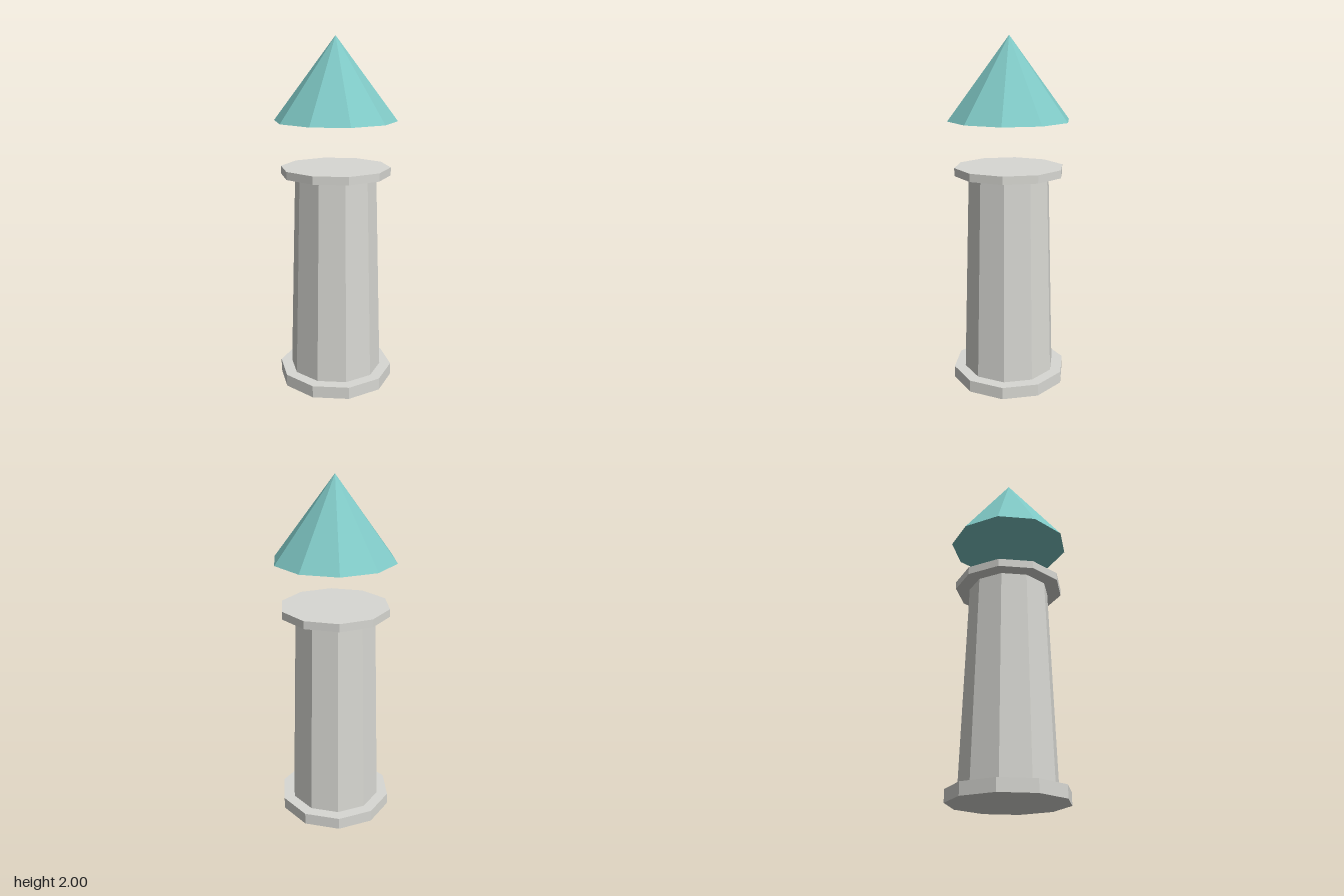
import * as THREE from 'three';

const SIDES = 10;

export function createModel() {
  const group = new THREE.Group();
  const stone = new THREE.MeshStandardMaterial({ color: 0xd8d8d3, flatShading: true });
  stone.name = 'paleStone';
  const teal = new THREE.MeshStandardMaterial({ color: 0x7fc8c5, flatShading: true });
  teal.name = 'tealRoof';

  // Ten-sided frustum between two heights, with corners on the x axis
  function tier(name, topRadius, bottomRadius, y0, y1, material) {
    const geometry = new THREE.CylinderGeometry(
      topRadius, bottomRadius, y1 - y0, SIDES, 1, false, Math.PI / 2);
    const mesh = new THREE.Mesh(geometry, material);
    mesh.name = name;
    mesh.position.y = (y0 + y1) / 2;
    group.add(mesh);
  }

  tier('basePlinth', 0.334, 0.334, 0, 0.07, stone);
  tier('towerShaft', 0.232, 0.268, 0.07, 1.235, stone);
  tier('topPlatform', 0.313, 0.313, 1.235, 1.28, stone);
  // Roof floats above the open gallery
  tier('roof', 0, 0.347, 1.54, 2, teal);

  return group;
}
